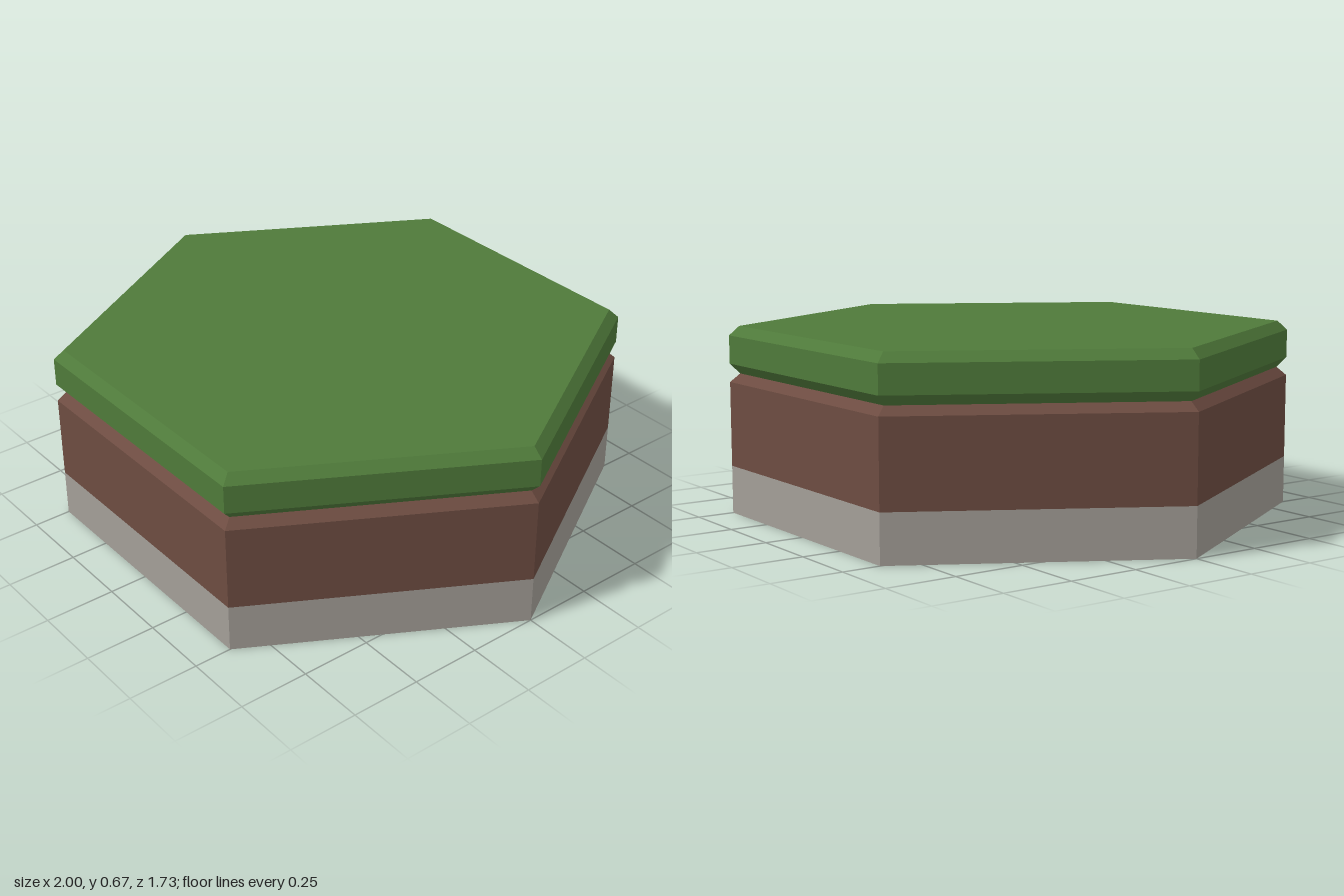
import * as THREE from 'three';

const SIDES = 6;
const RIM = 1; // corner radius of the hexagon
const INSET = 0.964; // corner radius at the bevelled edges

// Open hexagonal shell swept from [radius, height] points, corners on the x axis
function hexShell(name, color, profile) {
  const points = profile.map(([r, y]) => new THREE.Vector2(r, y));
  const geometry = new THREE.LatheGeometry(points, SIDES, Math.PI / 2);
  const material = new THREE.MeshStandardMaterial({
    color, flatShading: true, side: THREE.DoubleSide,
  });
  const mesh = new THREE.Mesh(geometry, material);
  mesh.name = name;
  return mesh;
}

export function createModel() {
  const tile = new THREE.Group();
  tile.name = 'hexTile';

  // Stone band, open underneath
  tile.add(hexShell('stoneBase', 0xa39e97, [[RIM, 0], [RIM, 0.17]]));

  // Earth band, bevelled inwards at its top
  tile.add(hexShell('earthLayer', 0x6d4c41, [[RIM, 0.17], [RIM, 0.47], [INSET, 0.5]]));

  // Grass slab, bevelled above and below, closed only on top
  tile.add(hexShell('grassTop', 0x4f7a3a, [
    [INSET, 0.5], [RIM, 0.535], [RIM, 0.635], [INSET, 0.668], [0, 0.668],
  ]));

  return tile;
}
